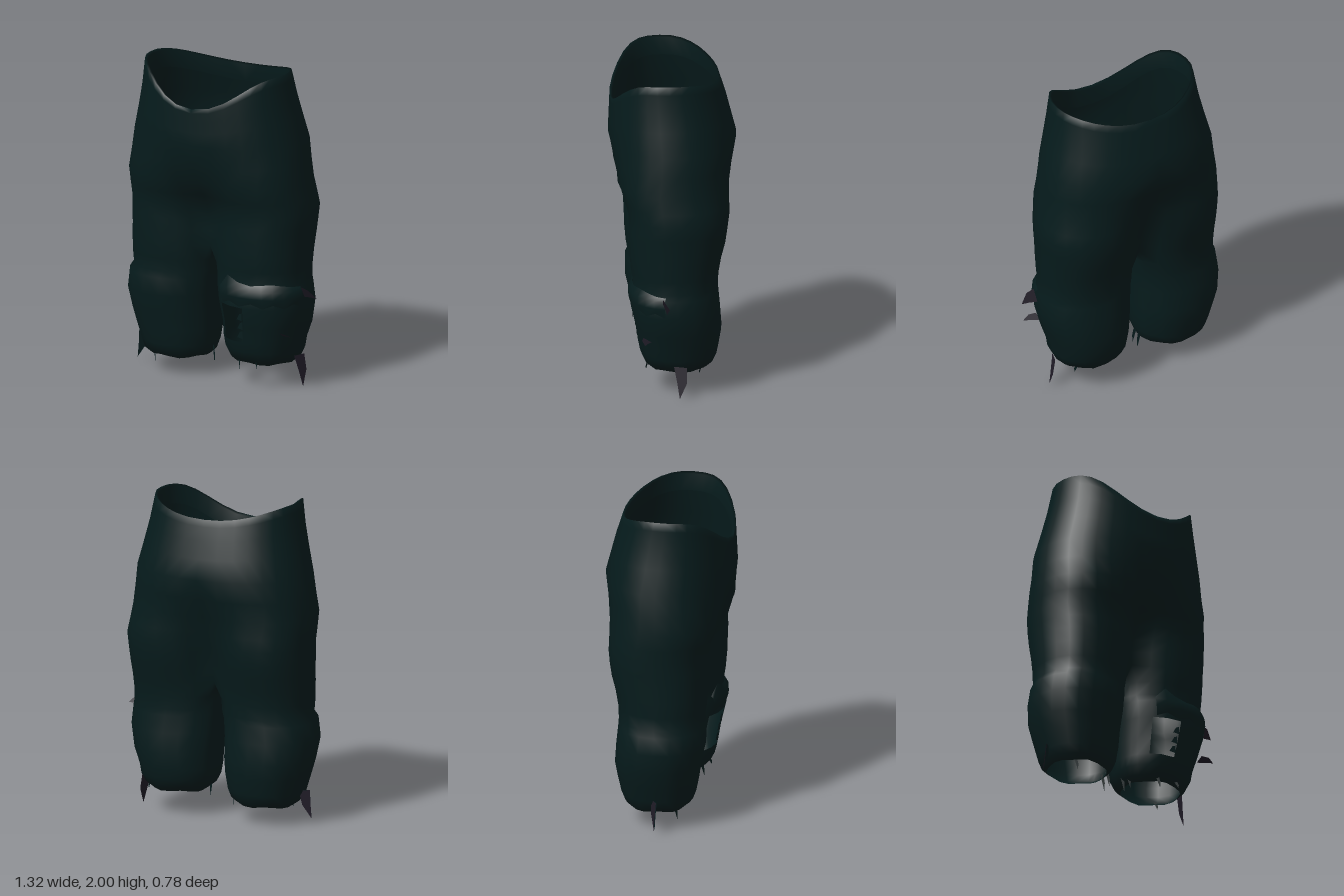
import * as THREE from 'three';
import { mergeVertices } from 'three/addons/utils/BufferGeometryUtils.js';

const cloth = new THREE.MeshStandardMaterial({ color: 0x061b1c, side: THREE.DoubleSide });
cloth.name = 'darkTealCloth';
const rag = new THREE.MeshStandardMaterial({ color: 0x1f1b26, side: THREE.DoubleSide });
rag.name = 'darkRag';

const SEAM = -0.045, OUT = 16, INN = 6, RING = OUT + INN, CROTCH = 0.86;
// y, right outer x, left outer x, front z, back z, right inner x, left inner x
const PROFILE = [
  [2.0, -0.515, 0.425, 0.355, -0.26, -0.05, -0.04],
  [1.8, -0.54, 0.455, 0.38, -0.325, -0.05, -0.04],
  [1.55, -0.60, 0.515, 0.39, -0.39, -0.05, -0.04],
  [1.3, -0.635, 0.545, 0.37, -0.36, -0.05, -0.04],
  [1.12, -0.63, 0.575, 0.295, -0.345, -0.05, -0.04],
  [0.95, -0.625, 0.56, 0.28, -0.31, -0.05, -0.04],
  [0.8, -0.625, 0.55, 0.275, -0.27, -0.05, -0.04],
  [0.68, -0.62, 0.545, 0.255, -0.265, -0.062, -0.033],
  [0.64, -0.645, 0.555, 0.27, -0.265, -0.07, -0.03],
  [0.53, -0.66, 0.565, 0.27, -0.275, -0.08, -0.02],
  [0.4, -0.64, 0.535, 0.24, -0.285, -0.085, -0.005],
  [0.3, -0.61, 0.5, 0.225, -0.27, -0.09, 0],
  [0.2, -0.58, 0.485, 0.205, -0.25, -0.105, 0.015],
];
const lerp = THREE.MathUtils.lerp, smoothstep = THREE.MathUtils.smoothstep;

function section(y) {
  let i = 0;
  while (i < PROFILE.length - 2 && y < PROFILE[i + 1][0]) i++;
  const a = PROFILE[i], b = PROFILE[i + 1];
  const t = THREE.MathUtils.clamp((a[0] - y) / (a[0] - b[0]), 0, 1);
  return a.map((v, k) => lerp(v, b[k], t));
}
const soft = (v) => Math.sign(v) * Math.pow(Math.abs(v), 0.9);

// Point on the hip shell: a = 0 front, PI/2 side, PI back
function hipPoint(s, a, y, off = 0) {
  const p = section(y), w = Math.abs(p[s > 0 ? 2 : 1] - SEAM) + off;
  return [SEAM + s * w * soft(Math.sin(a)), y, (p[3] + p[4]) / 2 + ((p[3] - p[4]) / 2 + off) * soft(Math.cos(a))];
}
// Point on a leg: phi = 0 inner side, PI/2 front, PI outer side
function legPoint(s, phi, y, off = 0) {
  const p = section(y), o = p[s > 0 ? 2 : 1], n = p[s > 0 ? 6 : 5];
  return [(o + n) / 2 - s * (Math.abs(o - n) / 2 + off) * soft(Math.cos(phi)), y,
    (p[3] + p[4]) / 2 + ((p[3] - p[4]) / 2 + off) * soft(Math.sin(phi))];
}
const ringAngle = (j) => THREE.MathUtils.degToRad(j <= OUT ? 30 + 300 * j / OUT : 330 + 60 * (j - OUT) / INN);

// Waist height: high at the sides, dipping in front and a little at the back
function rimHeight(s, a) {
  const f = Math.cos(a), side = (s < 0 ? 0.015 : 0) * Math.sin(a) ** 2;
  return 1.985 + side - (f > 0 ? 0.205 * f ** 4 : 0.075 * (-f) ** 2.5);
}

function geometryFrom(positions, index) {
  let g = new THREE.BufferGeometry();
  g.setAttribute('position', new THREE.Float32BufferAttribute(positions, 3));
  g.setIndex(index);
  g = mergeVertices(g, 1e-4);
  g.computeVertexNormals();
  return g;
}

// Loft rows of points into quads; skip(row, column) leaves holes
function loft(rows, s, pos, index, skip = () => false) {
  const base = pos.length / 3, n = rows[0].length;
  rows.forEach((r) => r.forEach((p) => pos.push(...p)));
  for (let i = 0; i < rows.length - 1; i++) for (let j = 0; j < n - 1; j++) {
    if (skip(i, j)) continue;
    const a = base + i * n + j, b = a + 1, c = a + n, d = c + 1;
    if (s > 0) index.push(a, c, b, b, c, d);
    else index.push(a, b, c, b, d, c);
  }
}

function trousersGeometry() {
  const pos = [], index = [];
  for (const s of [1, -1]) {
    const arc = (fn) => Array.from({ length: OUT + 1 }, (_, j) => fn(Math.PI * j / OUT, j));
    // Folded waistband, then the hips down to the crotch
    const hips = [
      arc((a) => hipPoint(s, a, rimHeight(s, a) - 0.12, -0.03)),
      arc((a) => hipPoint(s, a, rimHeight(s, a) - 0.01, -0.018)),
    ];
    for (const t of [0, 0.12, 0.35, 0.65, 1]) {
      hips.push(arc((a) => hipPoint(s, a, lerp(rimHeight(s, a), 1.55, t))));
    }
    for (const y of [1.42, 1.3, 1.2, 1.12, 1.03, 0.95, CROTCH]) {
      const w = smoothstep(1.55 - y, 0, 0.62);
      hips.push(arc((a, j) => {
        const h = hipPoint(s, a, y), l = legPoint(s, ringAngle(j), y);
        return h.map((v, k) => lerp(v, l[k], w));
      }));
    }
    for (const r of hips) r[0][0] = r[OUT][0] = SEAM;
    loft(hips, s, pos, index);

    // Leg rings start on the saddle-shaped crotch curve
    const last = hips[hips.length - 1];
    const top = [...last];
    for (let k = 1; k <= INN; k++) {
      const v = k / INN;
      top.push([SEAM, CROTCH - 0.06 * Math.sin(Math.PI * v), lerp(last[OUT][2], last[0][2], v)]);
    }
    const ring = (y, off, jag = 0) => Array.from({ length: RING + 1 }, (_, j) => {
      const phi = ringAngle(j);
      const p = legPoint(s, phi, y, off);
      p[1] += jag * Math.sin(5 * phi + s);
      return p;
    });
    const legs = [top, ...[0.76, 0.68, 0.64, 0.53, 0.4, 0.3].map((y) => ring(y, 0))];
    const lift = s > 0 ? 0.035 : 0;
    legs.push(ring(0.2 + lift, 0), ring(0.145 + lift, -0.02, 0.005), ring(0.115 + lift, -0.055, 0.006));
    // Torn knee on the left leg
    loft(legs, s, pos, index, (i, j) => s > 0 && (i === 4 || i === 5) && (j === 1 || j === 2));
  }
  return geometryFrom(pos, index);
}

// Loose cloth hanging over the left knee, with an uneven top edge
function kneeFlapGeometry() {
  const pos = [], index = [];
  const edge = [-0.02, 0.045, 0.01, -0.005, 0.005, 0.01, 0, -0.01, -0.015];
  const rows = [[0.68, 0.003], [0.645, 0.016], [0.6, 0.016], [0.54, 0.003]].map(([y, off], i) =>
    edge.map((e, j) => {
      const jag = i === 0 ? e : i === 3 ? 0.025 * (j % 2) : 0;
      return legPoint(1, lerp(0.95, 2.9, j / (edge.length - 1)), y + jag, off);
    }));
  loft(rows, 1, pos, index);
  return geometryFrom(pos, index);
}

// Tapered, slightly bent strip from root to tip; side is its half width
function strip(root, tip, side) {
  const r = new THREE.Vector3(...root), t = new THREE.Vector3(...tip), w = new THREE.Vector3(...side);
  const m = r.clone().lerp(t, 0.5).addScaledVector(w, 0.3);
  const pts = [r.clone().add(w), r.clone().sub(w), m.clone().addScaledVector(w, 0.75), m.clone().addScaledVector(w, -0.75), t];
  return geometryFrom(pts.flatMap((p) => p.toArray()), [0, 1, 2, 1, 3, 2, 2, 3, 4]);
}

export function createModel() {
  const model = new THREE.Group();
  model.name = 'tornTrousers';
  const add = (geo, mat, name) => {
    const m = new THREE.Mesh(geo, mat);
    m.name = name;
    model.add(m);
  };
  add(trousersGeometry(), cloth, 'trousers');
  add(kneeFlapGeometry(), cloth, 'kneeFlap');

  // Dark rags on the hems, left knee and shin; the right one is faced with cloth in front
  add(strip([0.485, 0.2, -0.02], [0.515, 0.005, -0.015], [0.014, 0, -0.038]), rag, 'leftHemRag');
  add(strip([-0.59, 0.21, -0.01], [-0.635, 0.035, 0], [0.028, 0, -0.02]), rag, 'rightHemRag');
  add(strip([-0.588, 0.21, -0.006], [-0.633, 0.035, 0.004], [0.028, 0, -0.02]), cloth, 'rightHemRagFacing');
  add(strip([0.56, 0.63, 0.07], [0.66, 0.6, 0.07], [0, 0.035, 0.022]), rag, 'kneeRag');
  add(strip([0.47, 0.375, 0.18], [0.565, 0.37, 0.2], [0, 0.014, 0.024]), rag, 'shinRag');

  // Frayed threads: x, root y, z, tip y
  const threads = [
    [-0.125, 0.17, -0.04, 0.055], [-0.11, 0.18, -0.01, 0.08], [-0.46, 0.13, 0.1, 0.05],
    [0.035, 0.21, -0.04, 0.1], [0.05, 0.2, 0, 0.12], [0.16, 0.17, 0.15, 0.1],
    [0.29, 0.17, 0.17, 0.13], [0.4, 0.18, -0.15, 0.13],
  ];
  for (const [x, y, z, tip] of threads) add(strip([x, y, z], [x + 0.012, tip, z + 0.01], [0.008, 0, 0.006]), cloth, 'hemThread');

  // Ragged edges around the knee tear
  for (let i = 0; i < 3; i++) {
    const y = 0.35 + i * 0.06, r = legPoint(1, 1.49, y, 0.002);
    add(strip(r, [r[0] - 0.04, y - 0.02, r[2] - 0.008], [0, 0.025, 0]), cloth, 'tearEdge');
  }
  return model;
}
